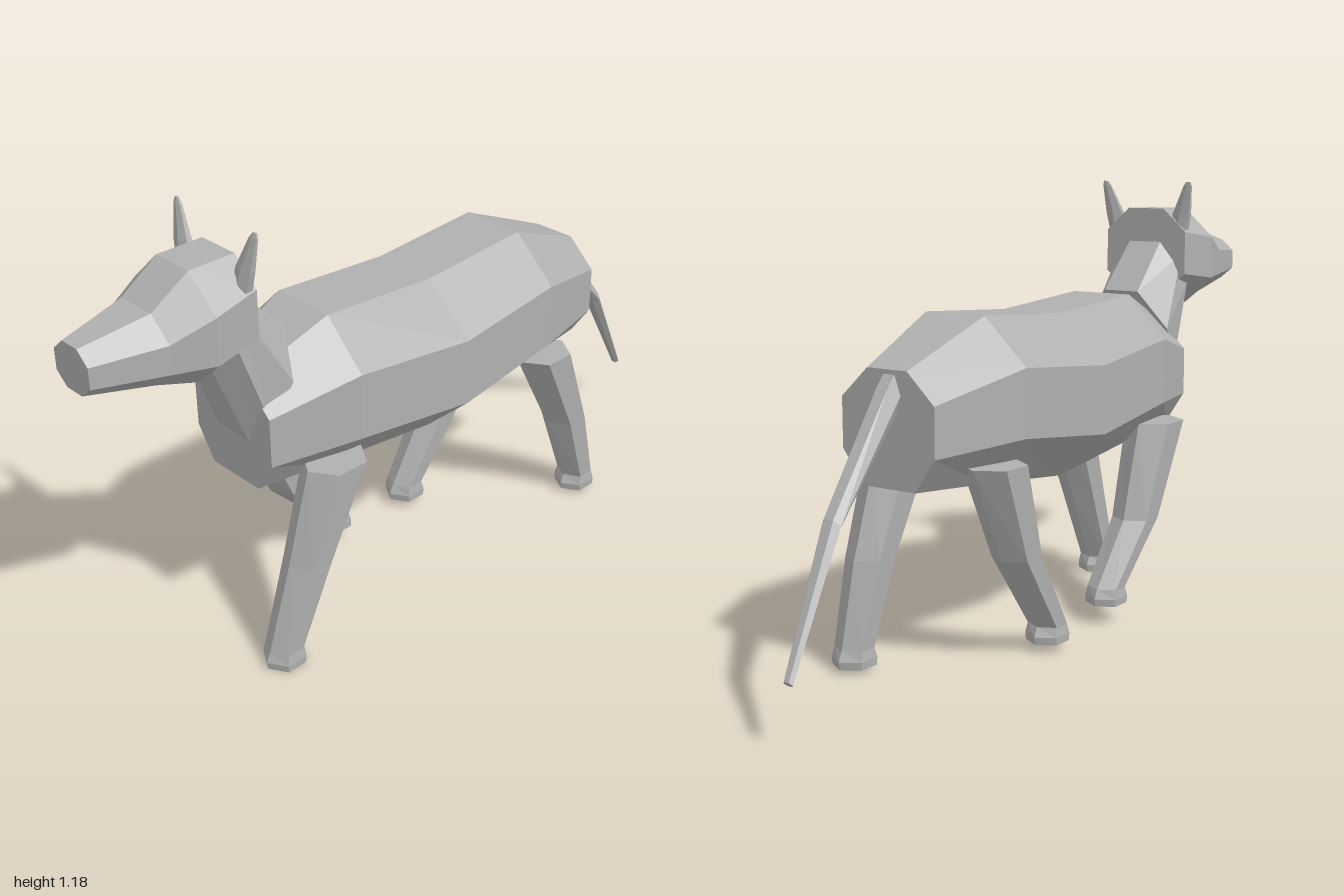
import * as THREE from 'three';

const grey = new THREE.MeshStandardMaterial({ color: 0xb0b0b0, flatShading: true });
grey.name = 'grey';

// Capped skin over rings of [x, y, z] points, always facing outwards
function loft(name, rings) {
  const tris = [];
  const n = rings[0].length;
  for (let r = 0; r < rings.length - 1; r++) {
    for (let i = 0; i < n; i++) {
      const j = (i + 1) % n;
      const a = rings[r][i], b = rings[r][j], c = rings[r + 1][j], d = rings[r + 1][i];
      tris.push([a, b, c], [a, c, d]);
    }
  }
  const first = rings[0], last = rings[rings.length - 1];
  for (let i = 1; i < n - 1; i++) {
    tris.push([first[0], first[i + 1], first[i]], [last[0], last[i], last[i + 1]]);
  }
  let volume = 0;
  const [u, v, w] = [0, 0, 0].map(() => new THREE.Vector3());
  for (const [a, b, c] of tris) {
    volume += u.fromArray(a).dot(v.fromArray(b).cross(w.fromArray(c)));
  }
  if (volume < 0) tris.forEach((t) => t.reverse());
  const geometry = new THREE.BufferGeometry();
  geometry.setAttribute('position', new THREE.Float32BufferAttribute(tris.flat(2), 3));
  geometry.computeVertexNormals();
  const mesh = new THREE.Mesh(geometry, grey);
  mesh.name = name;
  return mesh;
}

// Eight-sided ring from four levels of [half width, y, z]
function octagon(levels, cx = 0) {
  return [
    ...levels.map(([w, y, z]) => [cx + w, y, z]),
    ...levels.map(([w, y, z]) => [cx - w, y, z]).reverse(),
  ];
}

// Upright octagon: heights run from top to bottom
function section(z, topW, sideW, bottomW, ys, cx = 0) {
  const widths = [topW, sideW, sideW, bottomW];
  return octagon(widths.map((w, i) => [w, ys[i], z]), cx);
}

// Level six-sided ring with corners to the front and back
function hexagon(x, y, z, rx, rz) {
  return [[0, 1], [1, 0.5], [1, -0.5], [0, -1], [-1, -0.5], [-1, 0.5]]
    .map(([a, b]) => [x + a * rx, y, z + b * rz]);
}

// Leg from hip to knee to ankle, ending in a slightly flared foot
function leg(name, side, hipZ, knee, footZ, footY) {
  const x = side * 0.15;
  return loft(name, [
    hexagon(side * 0.152, 0.52, hipZ, 0.068, 0.087),
    hexagon(x, knee[0], knee[1], 0.055, 0.062),
    hexagon(x, footY + 0.045, footZ, 0.045, 0.047),
    hexagon(x, footY + 0.02, footZ, 0.049, 0.059),
    hexagon(x, footY, footZ, 0.048, 0.056),
  ]);
}

export function createModel() {
  const model = new THREE.Group();
  model.name = 'animal';

  // Torso, from chest to rump
  model.add(loft('body', [
    section(0.6, 0.06, 0.14, 0.085, [0.775, 0.7, 0.57, 0.485]),
    section(0.37, 0.09, 0.207, 0.09, [0.872, 0.755, 0.58, 0.46]),
    section(0.03, 0.09, 0.229, 0.09, [0.85, 0.725, 0.545, 0.42]),
    section(-0.3, 0.09, 0.215, 0.09, [0.872, 0.755, 0.583, 0.457]),
    section(-0.56, 0.06, 0.14, 0.08, [0.765, 0.69, 0.565, 0.48]),
  ]));

  // Slanted neck
  model.add(loft('neck', [
    octagon([[0.05, 1.03, 0.63], [0.105, 0.97, 0.635], [0.115, 0.89, 0.655], [0.045, 0.84, 0.688]]),
    octagon([[0.055, 0.87, 0.475], [0.13, 0.765, 0.515], [0.12, 0.66, 0.575], [0.06, 0.575, 0.588]]),
  ]));

  // Head, from muzzle to nape
  model.add(loft('head', [
    section(1, 0.028, 0.064, 0.028, [0.992, 0.96, 0.907, 0.877], -0.018),
    section(0.83, 0.054, 0.115, 0.045, [1.027, 0.972, 0.9, 0.845], -0.01),
    section(0.73, 0.058, 0.148, 0.06, [1.098, 1.015, 0.897, 0.82], -0.006),
    section(0.605, 0.058, 0.13, 0.055, [1.1, 1.035, 0.915, 0.855], -0.003),
  ]));

  // Slim ears, leaning out and back
  for (const [name, s] of [['leftEar', 1], ['rightEar', -1]]) {
    model.add(loft(name, [
      hexagon(s * 0.103, 1.03, 0.626, 0.022, 0.02),
      hexagon(s * 0.112, 1.085, 0.622, 0.026, 0.015),
      hexagon(s * 0.135, 1.165, 0.612, 0.012, 0.006),
      hexagon(s * 0.138, 1.177, 0.61, 0.006, 0.003),
    ]));
  }

  // Legs in a walking pose
  model.add(leg('frontLeftLeg', 1, 0.415, [0.27, 0.51], 0.598, 0));
  model.add(leg('frontRightLeg', -1, 0.415, [0.26, 0.318], 0.17, 0.05));
  model.add(leg('hindLeftLeg', 1, -0.345, [0.27, -0.457], -0.523, 0.01));
  model.add(leg('hindRightLeg', -1, -0.345, [0.27, -0.25], -0.115, 0.02));

  // Tail, bending down and to one side
  const tail = [
    [-0.006, 0.735, -0.53, 0.034, 0.034],
    [-0.008, 0.7, -0.565, 0.033, 0.032],
    [-0.044, 0.453, -0.805, 0.028, 0.016],
    [-0.081, 0.145, -0.993, 0.014, 0.008],
  ].map(([x, y, z, w, t]) => [[1, 0], [0.5, 1], [-0.5, 1], [-1, 0], [-0.5, -1], [0.5, -1]]
    .map(([a, b]) => [x + a * w, y + b * t * 0.75, z - b * t * 0.7]));
  model.add(loft('tail', tail));

  return model;
}
